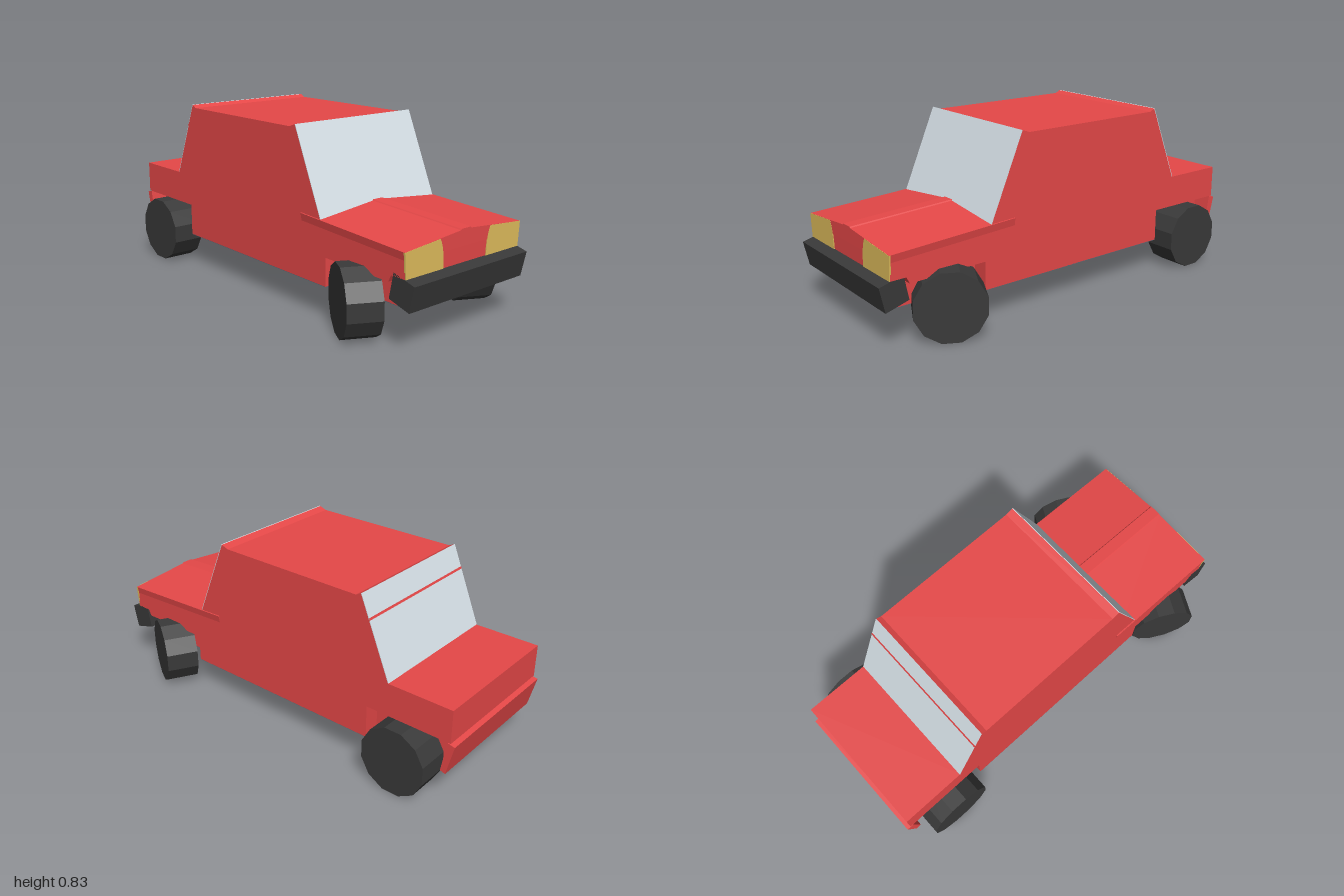
import * as THREE from 'three';

const material = (name, color) => {
  const m = new THREE.MeshStandardMaterial({ color });
  m.name = name;
  return m;
};

// Extrudes a side profile of [z, y] points across the car's width.
function sideExtrude(points, width) {
  const shape = new THREE.Shape(points.map(([z, y]) => new THREE.Vector2(z, y)));
  const g = new THREE.ExtrudeGeometry(shape, { depth: width, bevelEnabled: false });
  g.translate(0, 0, -width / 2);
  g.rotateY(-Math.PI / 2);
  return g;
}

// Thin profile lying on the line a-b, raised by t on its left-hand side.
function slopedPlate(a, b, width, t) {
  const dz = b[0] - a[0], dy = b[1] - a[1], len = Math.hypot(dz, dy);
  const n = [-dy / len * t, dz / len * t];
  return sideExtrude([a, b, [b[0] + n[0], b[1] + n[1]], [a[0] + n[0], a[1] + n[1]]], width);
}

export function createModel() {
  const red = material('red paint', 0xe64848);
  const rubber = material('dark rubber', 0x393939);
  const glass = material('pale glass', 0xd6e0e7);
  const yellow = material('headlight yellow', 0xdfbd5c);
  const under = material('underside', 0x5e6a79);
  const width = 0.694;

  const car = new THREE.Group();
  car.name = 'car';
  const add = (name, geometry, mat) => {
    const mesh = new THREE.Mesh(geometry, mat);
    mesh.name = name;
    car.add(mesh);
    return mesh;
  };

  // Body shell with cabin, roof lips and open wheel arches
  add('body', sideExtrude([
    [-0.56, 0.155], [0.49, 0.155], [0.49, 0.285], [0.86, 0.28], [0.875, 0.31],
    [0.948, 0.31], [0.95, 0.42], [0.453, 0.444],
    [0.287, 0.828], [0.25, 0.815], [-0.49, 0.815], [-0.515, 0.828],
    [-0.665, 0.465], [-0.98, 0.465], [-0.98, 0.31], [-0.56, 0.31],
  ], width), red);

  // Narrow chassis between the wheels
  add('chassis', sideExtrude(
    [[-0.945, 0.155], [0.91, 0.155], [0.91, 0.33], [-0.945, 0.33]], 0.54), red);

  // Floor covering the underside
  const floor = new THREE.Shape([
    [-0.27, -0.945], [0.27, -0.945], [0.27, -0.56], [0.347, -0.56], [0.347, 0.49], [0.27, 0.49],
    [0.27, 0.91], [-0.27, 0.91], [-0.27, 0.49], [-0.347, 0.49], [-0.347, -0.56], [-0.27, -0.56],
  ].map(([x, z]) => new THREE.Vector2(x, z)));
  const floorGeometry = new THREE.ExtrudeGeometry(floor, { depth: 0.002, bevelEnabled: false });
  floorGeometry.rotateX(Math.PI / 2);
  floorGeometry.translate(0, 0.156, 0);
  add('floor', floorGeometry, under);

  // Peaked bonnet with a central ridge; its flared edges run back along the cabin
  const half = [[0.346, 0.38], [0.353, 0.42], [0.032, 0.449], [0.028, 0.454]];
  const section = [...half, ...half.map(([x, y]) => [-x, y]).reverse()];
  const bonnet = new THREE.ExtrudeGeometry(
    new THREE.Shape(section.map(([x, y]) => new THREE.Vector2(x, y))),
    { depth: 0.62, bevelEnabled: false });
  bonnet.translate(0, 0, 0.331);
  const p = bonnet.attributes.position;
  for (let i = 0; i < p.count; i++) p.setY(i, p.getY(i) + (0.951 - p.getZ(i)) * 0.048);
  bonnet.computeVertexNormals();
  add('bonnet', bonnet, red);

  // Windscreen, rear window and the thin bar across the rear window
  add('windscreen', slopedPlate([0.453, 0.444], [0.287, 0.828], width, -0.003), glass);
  add('rearWindow', slopedPlate([-0.665, 0.465], [-0.515, 0.828], width, 0.003), glass);
  add('rearWindowBar', slopedPlate([-0.56, 0.719], [-0.556, 0.7287], width, 0.0045), red);

  // Headlights with curved inner edges
  for (const s of [1, -1]) {
    const lamp = new THREE.Shape();
    lamp.moveTo(s * 0.345, 0.31);
    lamp.lineTo(s * 0.353, 0.42);
    lamp.lineTo(s * 0.155, 0.437);
    lamp.quadraticCurveTo(s * 0.132, 0.405, s * 0.132, 0.31);
    const g = new THREE.ExtrudeGeometry(lamp, { depth: 0.008, bevelEnabled: false, curveSegments: 6 });
    g.translate(0, 0, 0.944);
    add(s > 0 ? 'leftHeadlight' : 'rightHeadlight', g, yellow);
  }

  // Bumpers
  add('frontBumper', sideExtrude(
    [[0.865, 0.212], [0.975, 0.181], [1.0, 0.295], [0.888, 0.325]], width), rubber);
  add('rearBumper', sideExtrude(
    [[-0.965, 0.155], [-0.94, 0.163], [-0.965, 0.308], [-1.0, 0.3]], width), red);

  // Twelve-sided wheels, the front pair steered to the right
  const wheel = new THREE.CylinderGeometry(0.1605, 0.1605, 0.154, 12).toNonIndexed();
  wheel.rotateY(Math.PI / 12);
  wheel.rotateZ(Math.PI / 2);
  wheel.computeVertexNormals();
  for (const [end, z, steer] of [['front', 0.677, -0.49], ['rear', -0.752, 0]]) {
    for (const [side, x] of [['Left', 0.348], ['Right', -0.348]]) {
      const w = add(`${end}${side}Wheel`, wheel, rubber);
      w.position.set(x, 0.155, z);
      w.rotation.y = steer;
    }
  }
  return car;
}
